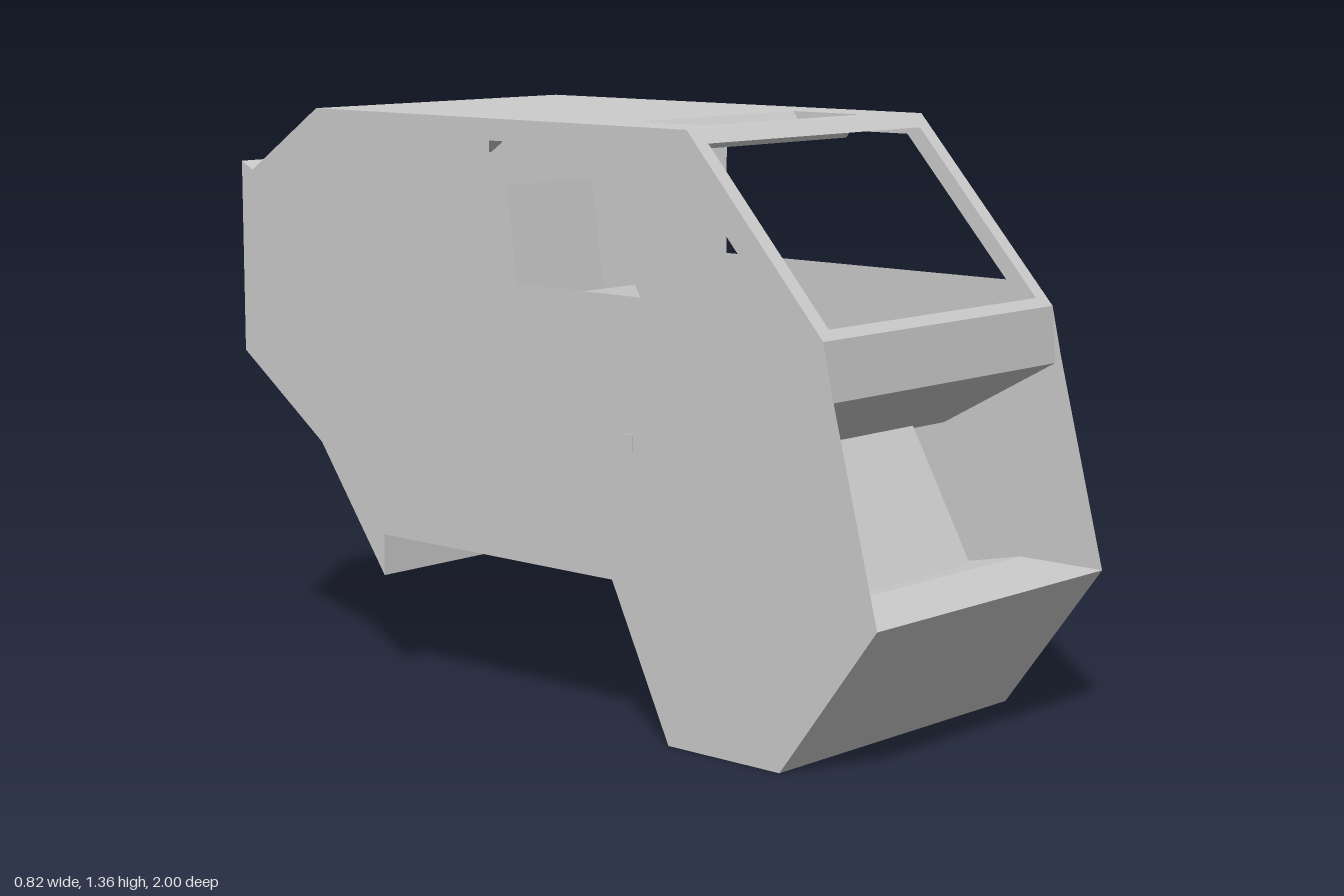
import * as THREE from 'three';

const HALF = 0.41; // half width of the cab

export function createModel() {
  const group = new THREE.Group();
  const mat = new THREE.MeshStandardMaterial({
    color: 0xcccccc, flatShading: true, side: THREE.DoubleSide });

  const add = (name, geo, x = 0, y = 0, z = 0) => {
    const m = new THREE.Mesh(geo, mat);
    m.name = name;
    m.position.set(x, y, z);
    group.add(m);
    return m;
  };
  const shapeOf = pts => new THREE.Shape(pts.map(p => new THREE.Vector2(...p)));
  const rect = (x0, y0, x1, y1) => [[x0, y0], [x1, y0], [x1, y1], [x0, y1]];

  // Sheet metal folded along a [z, y] line, spanning the width
  function sheet(name, line, w = HALF) {
    const pos = [];
    for (let i = 0; i < line.length - 1; i++) {
      const [z0, y0] = line[i], [z1, y1] = line[i + 1];
      pos.push(-w, y0, z0, w, y0, z0, w, y1, z1, -w, y0, z0, w, y1, z1, -w, y1, z1);
    }
    const g = new THREE.BufferGeometry();
    g.setAttribute('position', new THREE.Float32BufferAttribute(pos, 3));
    g.computeVertexNormals();
    return add(name, g);
  }

  // Flat plate with a [z, y] outline, standing at a given x
  function sidePlate(name, outline, x, hole) {
    const s = shapeOf(outline);
    if (hole) s.holes.push(shapeOf(hole));
    return add(name, new THREE.ShapeGeometry(s).rotateY(-Math.PI / 2), x);
  }

  // Solid block with a [z, y] outline between two x positions
  function prism(name, outline, x0, x1) {
    const g = new THREE.ExtrudeGeometry(shapeOf(outline), { depth: x1 - x0, bevelEnabled: false });
    return add(name, g.rotateY(-Math.PI / 2), x1);
  }

  // Side walls with cab windows
  const profile = [[1, 0.35], [0.86, 0.81], [0.85, 0.94], [0.47, 1.36], [-0.72, 1.36],
    [-0.96, 1.2], [-1, 1.22], [-1, 0.75], [-0.72, 0.55], [-0.5, 0.25], [-0.5, 0.35],
    [0.25, 0.35], [0.42, 0], [0.74, 0]];
  profile[1] = [0.875, 0.83];
  const windowHole = [[0.72, 0.99], [-0.13, 0.99], [-0.13, 1.31], [0.43, 1.31]];
  for (const s of [-1, 1])
    sidePlate(s > 0 ? 'leftWall' : 'rightWall', profile, s * HALF, windowHole);

  // Windscreen frame, tilted back
  const rise = 0.42, run = 0.38, len = Math.hypot(rise, run);
  const frame = shapeOf(rect(-HALF, 0, HALF, len));
  frame.holes.push(shapeOf(rect(-0.37, 0.027, 0.37, 0.526)));
  add('windscreenFrame', new THREE.ShapeGeometry(frame).rotateX(-Math.atan2(run, rise)),
    0, 0.94, 0.85);

  // Roof with a hatch recess
  const roof = shapeOf(rect(-HALF, -0.47, HALF, 0.72));
  roof.holes.push(shapeOf(rect(-0.27, -0.4, 0.27, -0.2)));
  add('roof', new THREE.ShapeGeometry(roof).rotateX(-Math.PI / 2), 0, 1.36);
  const recess = [[0.4, 1.36], [0.36, 1.305], [0.24, 1.305], [0.2, 1.36]];
  sheet('hatchRecess', recess, 0.27);
  for (const s of [-1, 1]) sidePlate('hatchRecessSide', recess, s * 0.27);
  sheet('rearRoof', [[-0.72, 1.36], [-0.96, 1.2], [-1, 1.22], [-1, 1.18]]);

  // Nose panel, dashboard and lower hull
  sheet('nosePanel', [[0.85, 0.94], [0.86, 0.81]]);
  sheet('dashboard', [[0.86, 0.81], [0.55, 0.64]]);
  sheet('lowerHull', [[1, 0.35], [0.74, 0], [0.42, 0], [0.25, 0.35], [-0.5, 0.35], [-0.5, 0.25]]);

  // Footwell floor rising into the seat platform
  sheet('cabFloor', [[1, 0.35], [0.775, 0.35], [0.4, 0.27], [0.22, 0.48], [0.3, 0.64],
    [-0.1, 0.64], [-0.14, 0.35]]);

  // Hollow centre console below the dashboard
  prism('consoleFront', [[0.74, 0.35], [0.55, 0.69], [0.53, 0.69], [0.72, 0.35]], -0.262, 0.262);
  const consoleSide = [[0.72, 0.35], [0.53, 0.69], [0.45, 0.69], [0.45, 0.3]];
  prism('consoleSide', consoleSide, -0.262, -0.22);
  prism('consoleSide', consoleSide, 0.22, 0.262);

  // Bench seat
  prism('seatCushion', [[0.28, 0.64], [0.28, 0.71], [-0.14, 0.67], [-0.14, 0.6]], -0.26, 0.26);
  prism('seatBack', [[-0.07, 0.52], [-0.3, 0.91], [-0.37, 0.87], [-0.18, 0.45]], -0.26, 0.26);
  prism('headrest', [[-0.3, 0.9], [-0.34, 1.18], [-0.39, 1.17], [-0.36, 0.88]], -0.147, 0.147);

  // Door handle and a small knob
  add('doorHandle', new THREE.BoxGeometry(0.008, 0.04, 0.03), -HALF, 0.665, 0.3);
  add('knob', new THREE.CylinderGeometry(0.01, 0.01, 0.04, 12).rotateX(Math.PI / 2),
    -0.34, 0.565, 0.28);
  return group;
}
